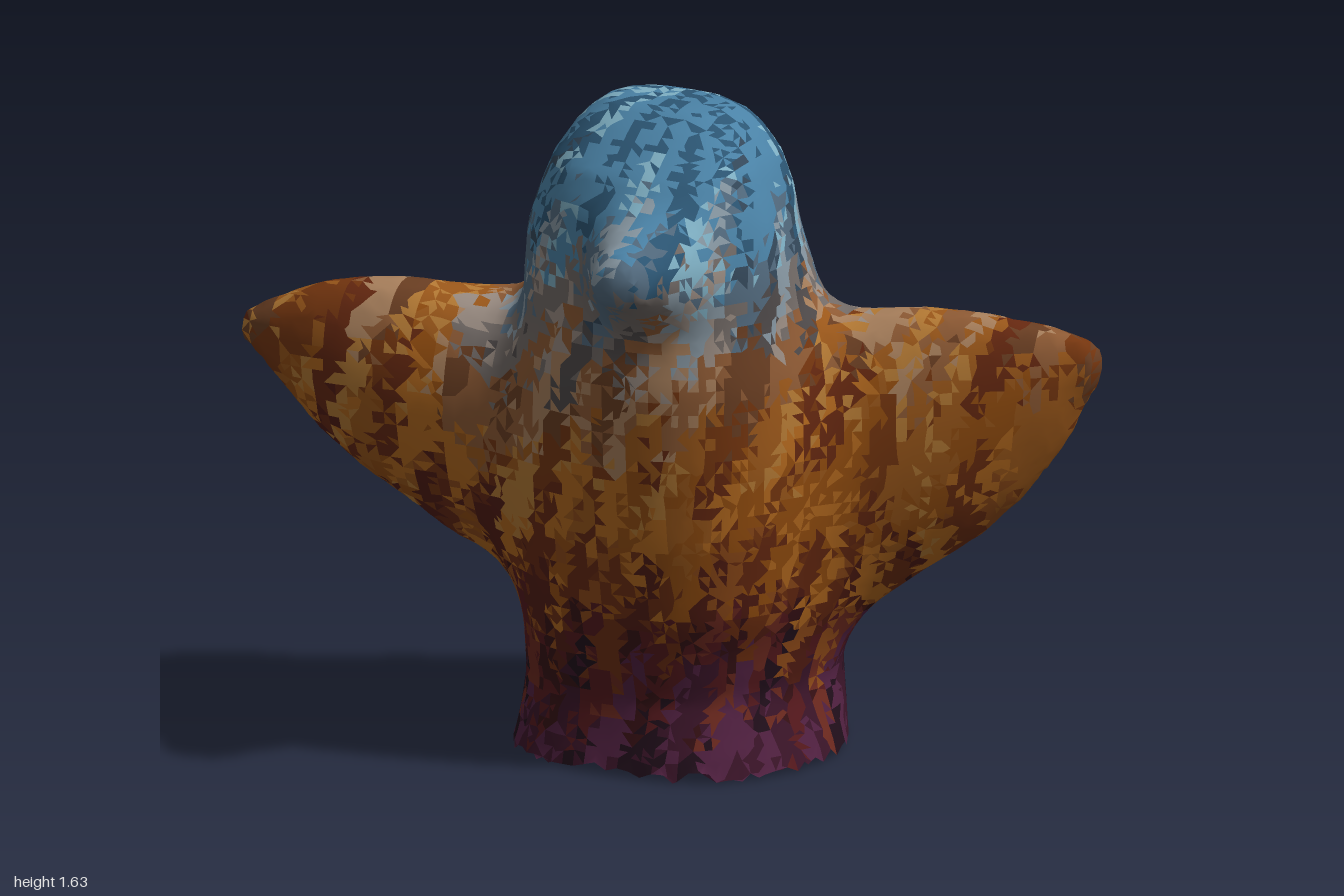
import * as THREE from 'three';

// Body slices: y, xMin, xMax, zMin, zMax
const BODY = [
  [0, -0.335, 0.455, -0.66, 0.41], [0.1, -0.335, 0.41, -0.63, 0.38], [0.18, -0.34, 0.38, -0.59, 0.365],
  [0.3, -0.355, 0.40, -0.52, 0.395], [0.4, -0.365, 0.42, -0.47, 0.42], [0.6, -0.375, 0.43, -0.39, 0.455],
  [0.8, -0.37, 0.43, -0.33, 0.475], [1.0, -0.34, 0.41, -0.26, 0.485], [1.1, -0.31, 0.39, -0.215, 0.475],
  [1.2, -0.31, 0.37, -0.195, 0.46], [1.32, -0.30, 0.335, -0.175, 0.45], [1.42, -0.265, 0.325, -0.145, 0.44],
  [1.5, -0.235, 0.30, -0.11, 0.40], [1.58, -0.19, 0.24, -0.06, 0.30], [1.62, -0.135, 0.18, 0.01, 0.23],
  [1.66, -0.05, 0.08, 0.1, 0.16],
];
// Wing slices: distance from the middle, yMin, yMax, zMin, zMax
const LEFT_WING = [
  [0, 0.3, 1.0, -0.2, 0.3], [0.3, 0.26, 1.08, -0.29, 0.22], [0.4, 0.32, 1.105, -0.29, 0.17],
  [0.5, 0.39, 1.12, -0.285, 0.11], [0.6, 0.465, 1.13, -0.28, 0.045], [0.7, 0.535, 1.125, -0.28, -0.02],
  [0.8, 0.635, 1.11, -0.29, -0.085], [0.9, 0.775, 1.085, -0.305, -0.15], [0.96, 0.90, 1.06, -0.295, -0.2],
  [1.01, 0.98, 1.035, -0.275, -0.225],
];
const RIGHT_WING = [
  [0, 0.45, 1.0, -0.2, 0.33], [0.3, 0.38, 1.08, -0.18, 0.37], [0.4, 0.42, 1.11, -0.07, 0.38],
  [0.5, 0.47, 1.12, 0.03, 0.39], [0.6, 0.555, 1.135, 0.105, 0.41], [0.7, 0.63, 1.13, 0.16, 0.43],
  [0.8, 0.72, 1.11, 0.215, 0.435], [0.9, 0.845, 1.07, 0.275, 0.43], [0.96, 0.92, 1.04, 0.325, 0.42],
  [1.01, 0.96, 1.0, 0.37, 0.405],
];

// Plumage colours from the base up to the crown: dark, middle and light
const RAMP = [
  [0x200e1a, 0x3a1428, 0x502040], [0x361014, 0x54181c, 0x6b281e], [0x521c12, 0x6e2e0f, 0x8f4a18],
  [0x662810, 0x954e0f, 0xb4691e], [0x76360f, 0x9c581a, 0xb57a34], [0x6a3e22, 0x8e5a34, 0xa9805c],
  [0x4f4a4a, 0x726a66, 0x9a8c82], [0x34485a, 0x526a7e, 0x8797a2], [0x2c5674, 0x4a82a6, 0x7fb0c4],
];

function slice(table, t) {
  let i = 0;
  while (i < table.length - 2 && t > table[i + 1][0]) i++;
  const a = table[i], b = table[i + 1];
  const f = THREE.MathUtils.clamp((t - a[0]) / (b[0] - a[0]), 0, 1);
  return a.map((v, n) => v + (b[n] - v) * f);
}

// Signed distance to a rounded section with half sizes a and b
function section(u, v, a, b, p) {
  const n = Math.pow(Math.abs(u / a) ** p + Math.abs(v / b) ** p, 1 / p);
  return n < 1e-4 ? -Math.min(a, b) : (n - 1) * Math.hypot(u, v) / n;
}

function blend(a, b, k) {
  const h = Math.max(k - Math.abs(a - b), 0) / k;
  return Math.min(a, b) - h * h * k / 4;
}

// Squarish at the base with its ends swept to the right, rounder above
function bodyField(x, y, z) {
  const [, x0, x1, z0, z1] = slice(BODY, y);
  const dz = z - (z0 + z1) / 2;
  const sweep = (dz < 0 ? 0.17 : -0.12) * Math.max(1 - y, 0) * dz;
  const power = 2.3 + 0.8 * Math.max(1 - y / 0.3, 0);
  const round = section(x - (x0 + x1) / 2 - sweep, dz, (x1 - x0) / 2, (z1 - z0) / 2, power);
  const cutCorner = 0.85 * x - 0.53 * z - 0.39;
  return Math.max(-blend(-round, -cutCorner, 0.08), y - 1.63);
}

function wingField(table, d, y, z) {
  const [, y0, y1, z0, z1] = slice(table, d);
  const yc = (y0 + y1) / 2, lean = 0.12 * (y - yc);
  return Math.max(section(y - yc, z - (z0 + z1) / 2 - lean, (y1 - y0) / 2, (z1 - z0) / 2, 2), d - 1);
}

function beakField(x, y, z) {
  const t = THREE.MathUtils.clamp((z - 0.25) / 0.33, 0, 1);
  return Math.hypot(x - 0.08 - 0.056 * t, y - 1.255 - 0.055 * t, z - 0.25 - 0.33 * t) - (0.285 - 0.207 * t);
}

function birdField(x, y, z) {
  const wing = x > 0 ? wingField(LEFT_WING, x, y, z) : wingField(RIGHT_WING, -x, y, z);
  return blend(blend(bodyField(x, y, z), beakField(x, y, z), 0.06), wing, 0.13);
}

function hash(a, b, c) {
  const s = Math.sin(a * 127.1 + b * 311.7 + c * 74.7) * 43758.5453;
  return s - Math.floor(s);
}

// One smooth skin around the field, left open at the base
function skin() {
  const h = 0.03, min = [-1.065, 0, -0.75], size = [72, 58, 51];
  const id = (c) => c[0] + size[0] * (c[1] + size[1] * c[2]);
  const values = new Float32Array(size[0] * size[1] * size[2]);
  const each = (fn) => {
    for (let k = 0; k < size[2]; k++)
      for (let j = 0; j < size[1]; j++)
        for (let i = 0; i < size[0]; i++) fn([i, j, k]);
  };
  each((c) => { values[id(c)] = birdField(...c.map((v, n) => min[n] + v * h)); });

  const positions = [], cellVertex = new Map(), quads = [];
  each((c) => {
    if (c.some((v, n) => v > size[n] - 2)) return;
    const sum = [0, 0, 0];
    let count = 0;
    for (let e = 0; e < 12; e++) {
      const axis = e >> 2, p = [...c];
      p[(axis + 1) % 3] += e & 1;
      p[(axis + 2) % 3] += (e >> 1) & 1;
      const q = [...p];
      q[axis]++;
      const a = values[id(p)], b = values[id(q)];
      if ((a < 0) === (b < 0)) continue;
      p[axis] += a / (a - b);
      p.forEach((v, n) => { sum[n] += v; });
      count++;
    }
    if (!count) return;
    const v = sum.map((s, n) => min[n] + h * s / count);
    if (c[1] === 0) v[1] = 0.028 * hash(c[0], 3, c[2]); // ragged hem
    cellVertex.set(id(c), positions.length / 3);
    positions.push(...v);
  });
  each((c) => {
    for (let axis = 0; axis < 3; axis++) {
      const b = (axis + 1) % 3, d = (axis + 2) % 3, next = [...c];
      if (!c[b] || !c[d] || ++next[axis] >= size[axis]) continue;
      const inside = values[id(c)] < 0;
      if (inside === (values[id(next)] < 0)) continue;
      const quad = [[1, 1], [0, 1], [0, 0], [1, 0]].map(([s, t]) => {
        const cell = [...c];
        cell[b] -= s;
        cell[d] -= t;
        return cellVertex.get(id(cell));
      });
      if (quad.every((v) => v !== undefined)) quads.push(inside ? quad : quad.reverse());
    }
  });
  const geometry = new THREE.BufferGeometry();
  geometry.setAttribute('position', new THREE.Float32BufferAttribute(positions, 3));
  geometry.setIndex(quads.flatMap(([a, b, c, d], n) =>
    n % 2 ? [a, b, c, a, c, d] : [a, b, d, b, c, d]));
  geometry.computeVertexNormals();
  return geometry;
}

// Choose a plumage colour: height bands broken up by long, slanting streaks
function plumageTone(x, y, z) {
  const side = z > 0.05 ? 1 : 2;
  const fleck = hash(Math.round(x * 60), Math.round(y * 60), Math.round(z * 60));
  const around = Math.abs(x) > 0.45 ? x * 18 : Math.atan2(x - 0.05, z - 0.05) * 7;
  const lane = Math.floor(around - y * 4 + fleck * 0.8);
  const streak = hash(lane, Math.floor(y * 4 + hash(lane, 1, side) * 5 + fleck * 0.5), side);
  const wing = THREE.MathUtils.clamp((Math.abs(x) - 0.32) * 5, 0, 1) * THREE.MathUtils.clamp(y * 4 - 1, 0, 1);
  let t = y + 0.6 * Math.min(z, 0) * (1 - wing);
  t = THREE.MathUtils.lerp(t, 0.52 + 0.5 * (y - 0.5), wing);
  const band = t * 5.8 + (streak - 0.5) * 1.8 + (fleck - 0.5) * 0.6;
  const shade = Math.floor((streak * 7.3 % 1) * 2.4 + fleck * 0.6);
  return [THREE.MathUtils.clamp(Math.floor(band), 0, 8), Math.min(shade, 2)];
}

export function createModel() {
  const bird = new THREE.Group();
  bird.name = 'bird';
  const whole = skin(), pos = whole.attributes.position, index = whole.index.array;
  const patches = RAMP.map((tones) => tones.map(() => []));
  for (let i = 0; i < index.length; i += 3) {
    const tri = [index[i], index[i + 1], index[i + 2]];
    const mid = ['getX', 'getY', 'getZ'].map((g) => tri.reduce((s, v) => s + pos[g](v) / 3, 0));
    const [band, shade] = plumageTone(...mid);
    patches[band][shade].push(...tri);
  }
  // Patches share the skin's points and normals, so the surface stays seamless
  const names = ['hem', 'tail', 'lowerBody', 'belly', 'breast', 'shoulder', 'neck', 'face', 'crown'];
  patches.forEach((tones, b) => tones.forEach((tri, s) => {
    if (!tri.length) return;
    const geometry = new THREE.BufferGeometry();
    geometry.setAttribute('position', pos);
    geometry.setAttribute('normal', whole.attributes.normal);
    geometry.setIndex(tri);
    const material = new THREE.MeshStandardMaterial({ color: RAMP[b][s], side: THREE.DoubleSide });
    const mesh = new THREE.Mesh(geometry, material);
    mesh.name = `${names[b]}Feathers${['Dark', 'Middle', 'Light'][s]}`;
    bird.add(mesh);
  }));
  return bird;
}
